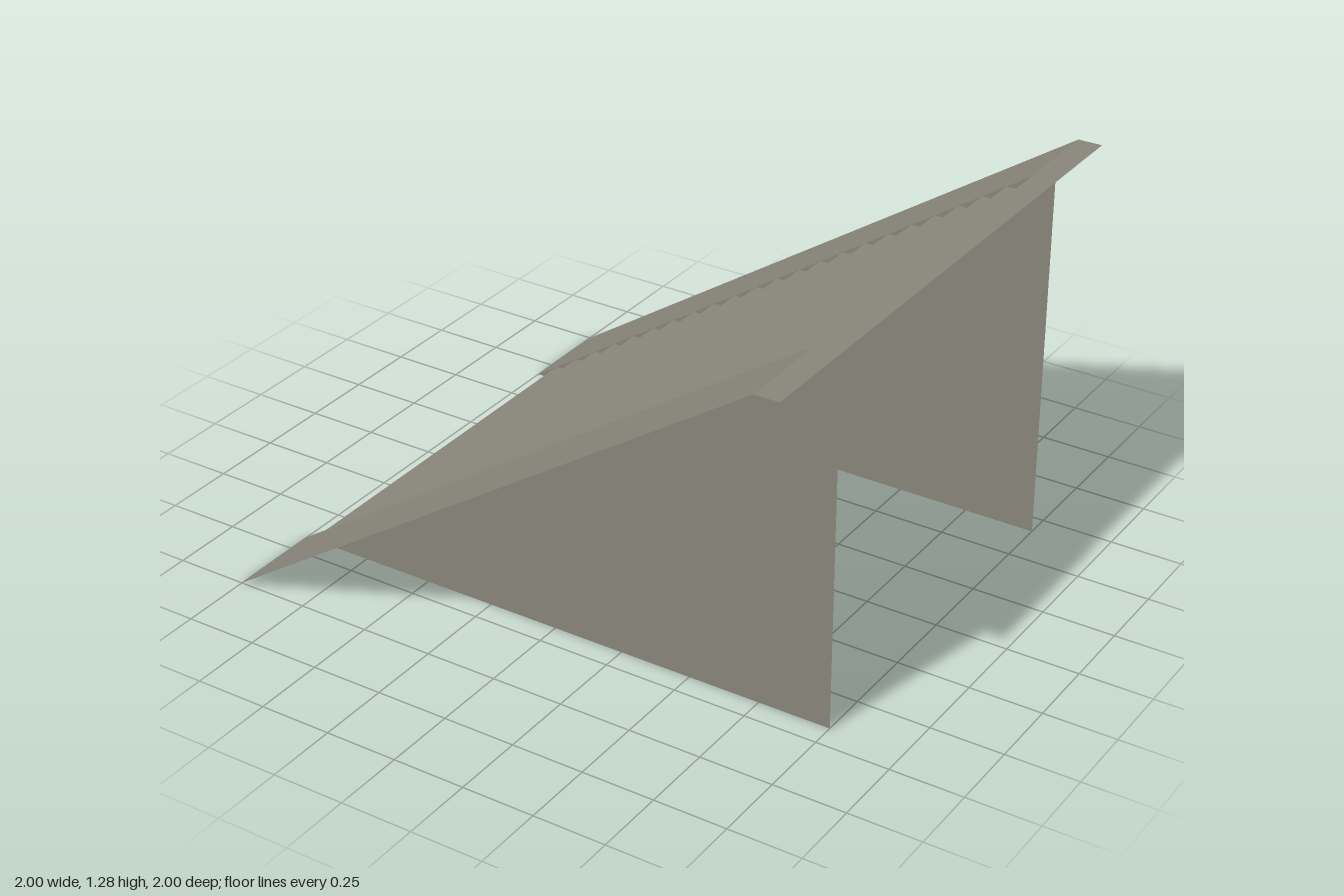
import * as THREE from 'three';

const STEPS = 23, RUN = 1 / 12, RISE = 1 / 18;
const TOP = STEPS * RISE;        // height of the upper landing
const EDGE = 1 - RUN;            // where the slope meets the landing
const INNER = 2 / 3;             // half width of the stair flight

// Thin folded sheet: an open x/y profile swept from z0 to z1, with hard folds
function sheet(profile, z0, z1) {
  const pos = [];
  for (let i = 0; i < profile.length - 1; i++) {
    const [ax, ay] = profile[i], [bx, by] = profile[i + 1];
    pos.push(ax, ay, z1, bx, by, z1, bx, by, z0);
    pos.push(ax, ay, z1, bx, by, z0, ax, ay, z0);
  }
  const g = new THREE.BufferGeometry();
  g.setAttribute('position', new THREE.Float32BufferAttribute(pos, 3));
  g.computeVertexNormals();
  return g;
}

export function createModel() {
  const group = new THREE.Group();
  const stone = new THREE.MeshStandardMaterial({ color: 0x88857a, side: THREE.DoubleSide });
  stone.name = 'warm grey stone';

  const add = (name, geometry) => {
    const mesh = new THREE.Mesh(geometry, stone);
    mesh.name = name;
    group.add(mesh);
    return mesh;
  };

  // Stair flight: risers and treads folded as one sheet, ending in the landing
  const steps = [];
  for (let i = 0; i < STEPS; i++) {
    const x = -1 + (i + 1) * RUN;
    steps.push([x, i * RISE], [x, (i + 1) * RISE]);
  }
  steps.push([1, TOP]);
  add('stairFlight', sheet(steps, -INNER, INNER));

  // Sloping side ramps with a flat lip at the top
  const ramp = [[-1, 0], [EDGE, TOP], [1, TOP]];
  add('frontRamp', sheet(ramp, INNER, 1));
  add('backRamp', sheet(ramp, -1, -INNER));

  // Upright side walls beneath the inner edges of the ramps
  const outline = new THREE.Shape([[-1, 0], [1, 0], [1, TOP], [EDGE, TOP]]
    .map(([x, y]) => new THREE.Vector2(x, y)));
  add('frontWall', new THREE.ShapeGeometry(outline)).position.z = INNER;
  add('backWall', new THREE.ShapeGeometry(outline)).position.z = -INNER;

  return group;
}
